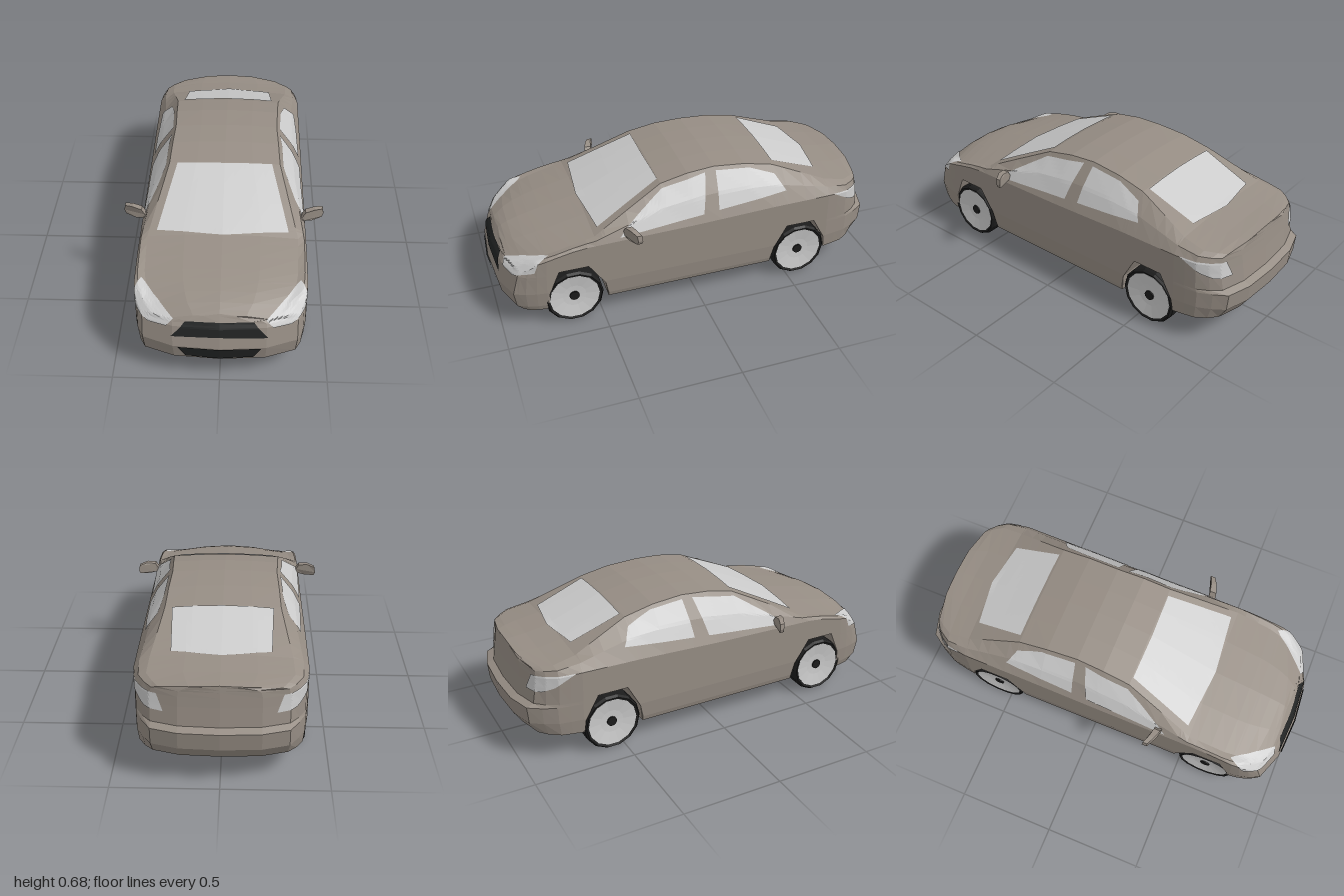
import * as THREE from 'three';

const mat = (color, side = THREE.FrontSide) =>
  new THREE.MeshStandardMaterial({ color, flatShading: true, side });
const paint = mat(0x968d84);
const glass = mat(0xcccccc, THREE.DoubleSide);
const grilleMat = mat(0x222424, THREE.DoubleSide);
const rubber = mat(0x1c1c1c);
const metal = mat(0xcccccc);

// Piecewise-linear lookup; keys run in descending order
const curve = (pts) => (t) => {
  if (t >= pts[0][0]) return pts[0][1];
  for (let i = 1; i < pts.length; i++) {
    const [k0, v0] = pts[i - 1], [k1, v1] = pts[i];
    if (t >= k1) return v1 + (v0 - v1) * (t - k1) / (k0 - k1);
  }
  return pts[pts.length - 1][1];
};

// Body lines along the length (front = 1, back = -1)
const topY = curve([[1, .365], [.95, .385], [.85, .41], [.7, .443], [.52, .48], [.35, .56], [.16, .647],
  [.02, .674], [-.12, .682], [-.28, .672], [-.43, .643], [-.58, .585], [-.72, .533], [-.85, .515], [-1, .505]]);
const edgeDrop = curve([[1, .03], [.52, .02], [.16, .012], [-.12, .012], [-.43, .015], [-1, .022]]);
const edgeW = curve([[1, .24], [.9, .31], [.75, .355], [.52, .36], [.16, .275], [-.12, .262],
  [-.43, .275], [-.72, .325], [-.85, .33], [-1, .27]]);
const beltY = curve([[1, .325], [.85, .385], [.6, .43], [0, .44], [-.4, .455], [-.72, .46], [-1, .445]]);
const bodyW = curve([[1, .355], [.9, .388], [.8, .4], [-.72, .4], [-.85, .382], [-.93, .35], [-1, .31]]);
// Underside with both wheel arches
const floorY = curve([[.79, .1], [.775, .2], [.72, .32], [.565, .32], [.485, .2], [.47, .105],
  [-.4, .105], [-.415, .2], [-.48, .32], [-.635, .32], [-.705, .2], [-.715, .135], [-1, .145]]);
// Upright profiles of the nose and the tail, and the tuck of the sills
const nose = curve([[.365, .93], [.31, .972], [.21, 1], [.13, .985], [.1, .955]]);
const tail = curve([[.505, .935], [.4, .95], [.31, .965], [.295, 1], [.18, .99], [.145, .95]]);
const sill = curve([[.21, 1], [.13, .98], [.1, .96]]);

// One closed cross-section; k pulls it to the centre line to close the ends
function ring(s, k) {
  const w = bodyW(s), by = beltY(s), fy = floorY(s), ew = edgeW(s), ey = topY(s) - edgeDrop(s);
  const half = [[0, fy]];
  for (const row of [.1, .13, .21, .295, .31, .4]) {
    const y = Math.min(Math.max(row, fy), by);
    half.push([w * sill(y), y]);
  }
  half.push([w, by], [(w + ew) / 2 + .01, (by + ey) / 2 + .008], [ew, ey], [ew * .5, topY(s) - edgeDrop(s) * .3], [0, topY(s)]);
  const all = [...half, ...half.slice(1, -1).reverse().map(([x, y]) => [-x, y])];
  return all.map(([x, y]) => {
    const px = x * k;
    const pull = Math.abs(s) ** 8 * (1 - (s > 0 ? nose(y) : tail(y)) + .1 * (Math.abs(px) / .4) ** 3);
    return [px, y, s - Math.sign(s) * pull];
  });
}

function makeBody() {
  const stations = [1, .97, .92, .85, .79, .775, .72, .64, .565, .52, .485, .47, .35, .25, .16, .02, -.12, -.28,
    -.4, -.415, -.43, -.48, -.58, -.635, -.705, -.715, -.78, -.85, -.93, -1];
  const rings = [ring(1, 0), ring(1, .6), ...stations.map((s) => ring(s, 1)), ring(-1, .6), ring(-1, 0)];
  const n = rings[0].length, idx = [];
  for (let j = 0; j < rings.length - 1; j++) {
    for (let i = 0; i < n; i++) {
      const a = j * n + i, b = j * n + (i + 1) % n, d = a + n, c = b + n;
      idx.push(a, d, b, b, d, c);
    }
  }
  const g = new THREE.BufferGeometry();
  g.setAttribute('position', new THREE.Float32BufferAttribute(rings.flat(2), 3));
  g.setIndex(idx);
  const flat = g.toNonIndexed();
  flat.computeVertexNormals();
  const body = new THREE.Mesh(flat, paint);
  body.name = 'body';
  return body;
}

const along = (pts, t) => {
  const f = t * (pts.length - 1), i = Math.min(Math.floor(f), pts.length - 2);
  return new THREE.Vector3(...pts[i]).lerp(new THREE.Vector3(...pts[i + 1]), f - i);
};

// Panel spanned between an upper and a lower edge, pressed onto the body along dir
function panel(name, body, upper, lower, dir, material) {
  const d = new THREE.Vector3(...dir).normalize();
  const ray = new THREE.Raycaster();
  const g = new THREE.PlaneGeometry(1, 1, 20, 10);
  const p = g.attributes.position;
  for (let i = 0; i < p.count; i++) {
    const v = along(upper, p.getX(i) + .5).lerp(along(lower, p.getX(i) + .5), .5 - p.getY(i));
    ray.set(v.clone().addScaledVector(d, -.6), d);
    const hit = ray.intersectObject(body)[0];
    const q = (hit ? hit.point : v).addScaledVector(d, -.005);
    p.setXYZ(i, q.x, q.y, q.z);
  }
  g.computeVertexNormals();
  const mesh = new THREE.Mesh(g, material);
  mesh.name = name;
  return mesh;
}

function makeWheel(name, x, z) {
  const wheel = new THREE.Group();
  const lathe = (part, pts, material) => {
    const g = new THREE.LatheGeometry(pts.map(([r, h]) => new THREE.Vector2(r, h)), 14);
    g.rotateZ(Math.PI / 2);
    const m = new THREE.Mesh(g, material);
    m.name = part;
    wheel.add(m);
  };
  lathe('tyre', [[.122, -.048], [.137, -.055], [.146, -.042], [.146, .042], [.137, .055], [.122, .048]], rubber);
  lathe('rim', [[0, -.036], [.06, -.04], [.125, -.05], [.125, .05], [.06, .04], [0, .036]], metal);
  lathe('hub', [[0, -.044], [.025, -.044], [.025, .044], [0, .044]], rubber);
  wheel.position.set(x, .145, z);
  wheel.name = name;
  return wheel;
}

// Door mirror housing, swept back towards its tip
function makeMirror(name, side) {
  const outline = [[.37, .468], [.395, .457], [.43, .451], [.483, .456], [.49, .475], [.485, .503], [.445, .513], [.4, .505], [.385, .48]];
  const shape = new THREE.Shape(outline.map(([x, y]) => new THREE.Vector2(x * side, y)));
  const g = new THREE.ExtrudeGeometry(shape, { depth: .036, bevelEnabled: false });
  const p = g.attributes.position;
  for (let i = 0; i < p.count; i++) {
    const t = Math.max(0, (Math.abs(p.getX(i)) - .38) / .11);
    p.setZ(i, .345 - .03 * t * t + p.getZ(i) * (1 - .35 * t));
  }
  g.computeVertexNormals();
  const mesh = new THREE.Mesh(g, paint);
  mesh.name = name;
  return mesh;
}

export function createModel() {
  const car = new THREE.Group();
  car.name = 'car';
  const body = makeBody();
  car.add(body);

  // Windscreen, rear window and grilles
  car.add(
    panel('windscreen', body, [[-.235, .65, .165], [0, .65, .17], [.235, .65, .165]],
      [[-.315, .48, .495], [0, .48, .525], [.315, .48, .495]], [0, -1, 0], glass),
    panel('rearWindow', body, [[-.24, .65, -.44], [0, .65, -.44], [.24, .65, -.44]],
      [[-.23, .54, -.69], [0, .54, -.725], [.23, .54, -.69]], [0, -1, 0], glass),
    panel('upperGrille', body, [[-.155, .334, 1], [0, .336, 1], [.155, .334, 1]],
      [[-.22, .262, 1], [0, .27, 1], [.22, .262, 1]], [0, 0, -1], grilleMat),
    panel('lowerGrille', body, [[-.19, .21, 1], [0, .21, 1], [.19, .21, 1]],
      [[-.155, .146, 1], [0, .14, 1], [.155, .146, 1]], [0, 0, -1], grilleMat));

  // Parts repeated on both sides
  for (const [label, m] of [['left', 1], ['right', -1]]) {
    const flip = (pts) => pts.map(([x, y, z]) => [x * m, y, z]);
    const add = (name, upper, lower, dir) =>
      car.add(panel(label + name, body, flip(upper), flip(lower), [dir[0] * m, dir[1], dir[2]], glass));
    add('FrontWindow', [[.36, .49, .36], [.3, .618, .16], [.27, .655, -.07]],
      [[.39, .45, .4], [.39, .465, .2], [.39, .483, -.03]], [-1, 0, 0]);
    add('RearSideWindow', [[.27, .655, -.125], [.28, .642, -.3], [.3, .595, -.43]],
      [[.39, .49, -.11], [.39, .505, -.3], [.39, .52, -.475]], [-1, 0, 0]);
    add('Headlight', [[.21, .34, .94], [.3, .385, .89], [.37, .41, .75]],
      [[.24, .305, .95], [.32, .3, .915], [.39, .335, .82]], [-.55, -.3, -.75]);
    add('TailLight', [[.395, .462, -.73], [.36, .458, -.83], [.28, .45, -.91]],
      [[.372, .4, -.83], [.33, .375, -.88], [.25, .37, -.93]], [-.7, 0, .7]);
    car.add(makeMirror(label + 'Mirror', m),
      makeWheel(label + 'FrontWheel', .34 * m, .64),
      makeWheel(label + 'RearWheel', .34 * m, -.56));
  }
  return car;
}
